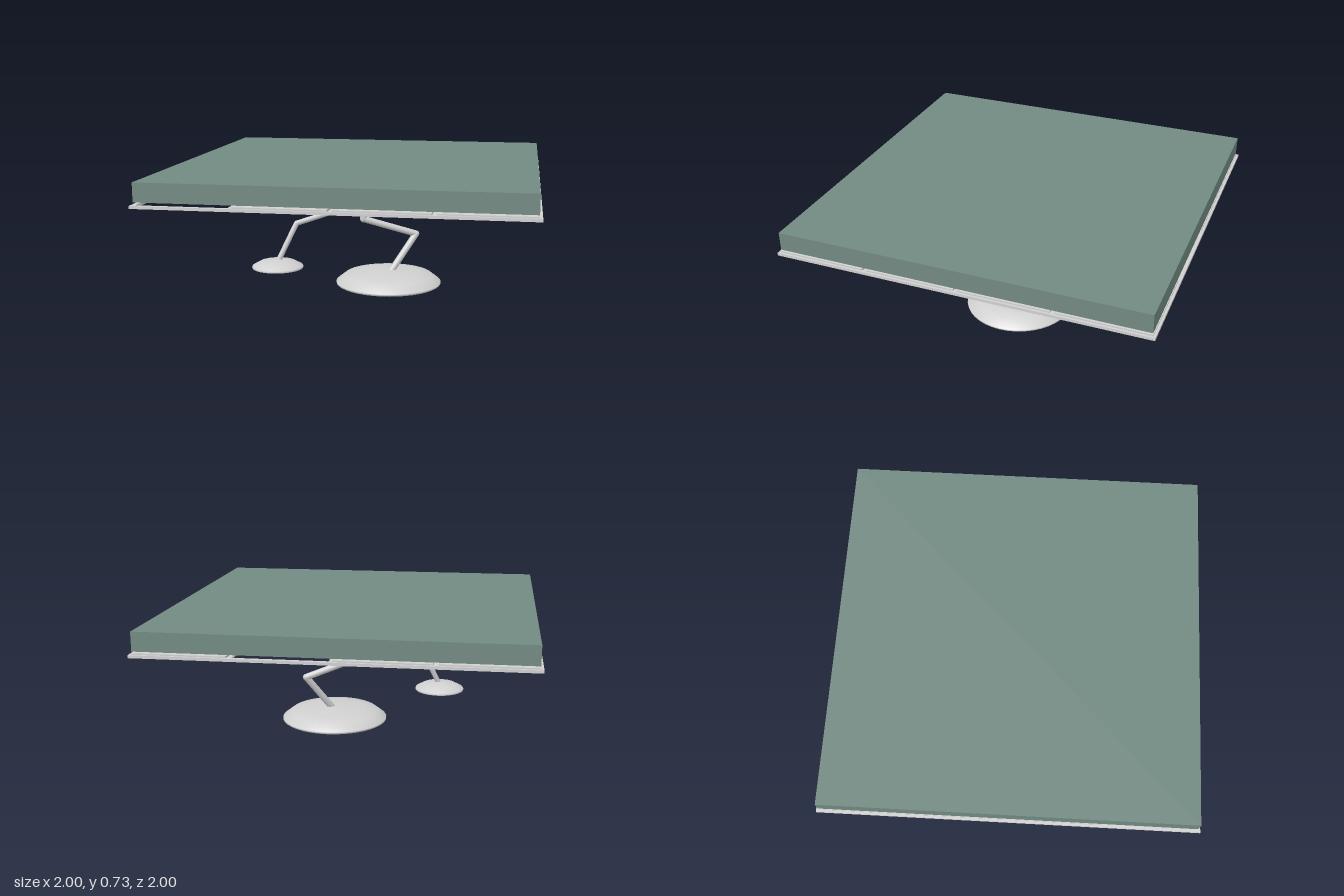
import * as THREE from 'three';

export function createModel() {
  const model = new THREE.Group();
  const slabGreen = new THREE.MeshStandardMaterial({ color: 0x728a82 });
  slabGreen.name = 'slabGreen';
  const paleGrey = new THREE.MeshStandardMaterial({ color: 0xd0d0d0 });
  paleGrey.name = 'paleGrey';

  function add(name, geometry, material, x, y, z, parent = model) {
    const mesh = new THREE.Mesh(geometry, material);
    mesh.name = name;
    mesh.position.set(x, y, z);
    parent.add(mesh);
    return mesh;
  }
  // Box spanning y0..y1
  function slab(name, w, d, y0, y1, x, z, material, parent) {
    return add(name, new THREE.BoxGeometry(w, y1 - y0, d), material, x, (y0 + y1) / 2, z, parent);
  }
  // Round bar between two points
  function rod(name, a, b, r, parent) {
    const p = new THREE.Vector3(...a), q = new THREE.Vector3(...b);
    const dir = q.clone().sub(p);
    const mesh = add(name, new THREE.CylinderGeometry(r, r, dir.length(), 16), paleGrey,
      ...p.clone().add(q).multiplyScalar(0.5).toArray(), parent);
    mesh.quaternion.setFromUnitVectors(new THREE.Vector3(0, 1, 0), dir.normalize());
    return mesh;
  }
  function arm(name, points, r) {
    const group = new THREE.Group();
    group.name = name;
    model.add(group);
    for (let i = 1; i < points.length; i++) {
      rod('armSegment', points[i - 1], points[i], r, group);
      if (i < points.length - 1) add('elbow', new THREE.SphereGeometry(r, 16, 12), paleGrey, ...points[i], group);
    }
  }
  // Lathe profile listed from the bottom centre outwards, then up to the top
  const lathe = (pts) => new THREE.LatheGeometry(pts.map(([r, y]) => new THREE.Vector2(r, y)), 40);

  // Structural ceiling
  slab('ceilingSlab', 1.97, 1.97, 0.63, 0.73, 0, 0, slabGreen);

  // Suspension grid
  const grid = new THREE.Group();
  grid.name = 'ceilingGrid';
  model.add(grid);
  for (let i = 0; i <= 4; i++) {
    const edge = i === 0 || i === 4;
    const p = (i - 2) * 0.5 * (edge ? 0.988 : 1);
    const top = edge ? 0.615 : 0.611;
    slab('gridBarAlongZ', 0.024, 2, 0.6, top, p, 0, paleGrey, grid);
    slab('gridBarAlongX', 2, 0.024, 0.6, top, 0, p, paleGrey, grid);
  }

  // Ceiling tiles, two of them left open
  const open = ['0,3', '2,0'];
  for (let i = 0; i < 4; i++) {
    for (let j = 0; j < 4; j++) {
      if (open.includes(`${i},${j}`)) continue;
      slab('ceilingTile', 0.475, 0.475, 0.605, 0.622, -0.75 + i * 0.5, -0.75 + j * 0.5, paleGrey);
    }
  }
  slab('ceilingPanel', 0.46, 0.46, 0.585, 0.606, -0.75, -0.25, paleGrey);

  // Ceiling mount and stem
  add('ceilingMount', new THREE.CylinderGeometry(0.1, 0.1, 0.05, 40), paleGrey, 0, 0.582, 0);
  rod('stem', [0, 0.56, 0], [0, 0.385, 0], 0.02);
  add('stemEnd', new THREE.SphereGeometry(0.02, 16, 12), paleGrey, 0, 0.385, 0);

  // Jointed arms
  arm('smallLampArm', [[0, 0.485, 0], [-0.35, 0.388, 0.2], [-0.445, 0.18, 0.25]], 0.015);
  arm('largeLampArm', [[0, 0.385, 0], [0.295, 0.285, -0.11], [0.16, 0.075, -0.005]], 0.019);

  // Lamp heads: flat underside and shallow domed top
  add('largeLampUnderside', lathe([[0, 0.009], [0.295, 0.009]]), paleGrey, 0.148, 0, 0);
  add('largeLampHead', lathe([[0.295, 0.009], [0.303, 0.014], [0.304, 0.024], [0.252, 0.064],
    [0.18, 0.076], [0.06, 0.087], [0, 0.088]]), paleGrey, 0.148, 0, 0);
  add('smallLampUnderside', lathe([[0, 0.15], [0.115, 0.15], [0.115, 0.14], [0.143, 0.14]]), paleGrey, -0.45, 0, 0.25);
  add('smallLampHead', lathe([[0.143, 0.14], [0.145, 0.145], [0.142, 0.152], [0.1, 0.175],
    [0.05, 0.185], [0, 0.189]]), paleGrey, -0.45, 0, 0.25);

  // Bulbs under the large lamp
  for (let i = 0; i < 7; i++) {
    const a = i * Math.PI / 3, r = i < 6 ? 0.17 : 0;
    add('lampBulb', new THREE.CylinderGeometry(0.065, 0.062, 0.012, 28), paleGrey,
      0.148 + r * Math.cos(a), 0.006, r * Math.sin(a));
  }
  return model;
}
